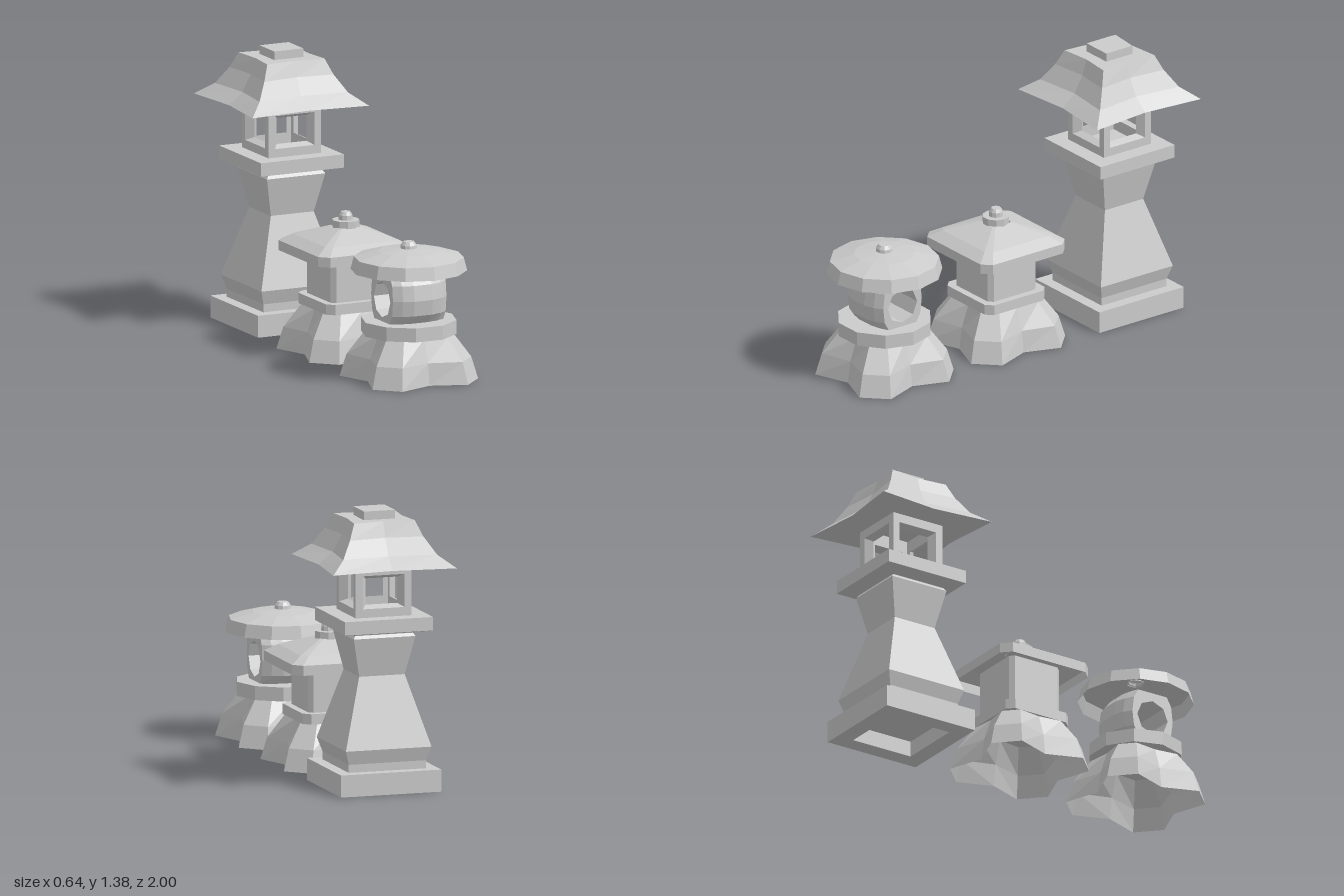
import * as THREE from 'three';

const stone = new THREE.MeshStandardMaterial({ color: 0xcccccc, flatShading: true, side: THREE.DoubleSide });
const V = (x, y, z) => new THREE.Vector3(x, y, z);

// Joins equal-length loops of points into a faceted skin, with optional end caps
function loft(name, loops, capStart = false, capEnd = false) {
  const pos = [];
  const tri = (...pts) => pts.forEach(p => pos.push(p.x, p.y, p.z));
  const n = loops[0].length;
  for (let k = 0; k + 1 < loops.length; k++) {
    for (let i = 0; i < n; i++) {
      const j = (i + 1) % n, a = loops[k], b = loops[k + 1];
      tri(a[i], a[j], b[j]);
      tri(a[i], b[j], b[i]);
    }
  }
  const cap = (loop, flip) => {
    const c = loop.reduce((s, p) => s.add(p), V(0, 0, 0)).divideScalar(n);
    loop.forEach((p, i) => {
      const q = loop[(i + 1) % n];
      flip ? tri(q, p, c) : tri(p, q, c);
    });
  };
  if (capStart) cap(loops[0], true);
  if (capEnd) cap(loops[loops.length - 1], false);
  const g = new THREE.BufferGeometry();
  g.setAttribute('position', new THREE.Float32BufferAttribute(pos, 3));
  g.computeVertexNormals();
  const mesh = new THREE.Mesh(g, stone);
  mesh.name = name;
  return mesh;
}

// Horizontal loops, counter-clockwise from above
const quarterTurns = (pts, y) => [0, 1, 2, 3].flatMap(k => pts.map(([x, z]) => {
  const c = Math.cos(k * Math.PI / 2), s = Math.sin(k * Math.PI / 2);
  return V(x * c - z * s, y, -(x * s + z * c));
}));
const square = (h, y) => quarterTurns([[h, h]], y);
const waisted = (h, mid, y) => quarterTurns([[mid, 0], [h, h]], y);
const chamfered = (h, c, y) => quarterTurns([[h, h - c], [h - c, h]], y);
const footed = (h, inner, mid, y) => quarterTurns([[mid, 0], [h, inner], [inner, h]], y);
const ring = (r, y, n) => Array.from({ length: n }, (_, i) => {
  const a = i / n * Math.PI * 2;
  return V(r * Math.cos(a), y, -r * Math.sin(a));
});
const turned = (name, profile, n, capStart, capEnd) =>
  loft(name, profile.map(([r, y]) => ring(r, y, n)), capStart, capEnd);

// Hollow base flaring out into four diagonal feet
const flaredBase = () => loft('flaredBase', [
  footed(0.29, 0.18, 0.225, 0), footed(0.26, 0.165, 0.21, 0.11), footed(0.185, 0.12, 0.17, 0.225),
], false, true);

function roundLantern() {
  const g = new THREE.Group();
  g.name = 'roundLantern';
  g.add(flaredBase());
  g.add(turned('plate', [[0.237, 0.225], [0.237, 0.295]], 10, true, true));

  // Rounded light chamber with an octagonal tunnel from side to side
  const outline = (x, s) => Array.from({ length: 16 }, (_, i) => {
    const a = i / 16 * Math.PI * 2;
    const y = THREE.MathUtils.clamp(0.2 * Math.sin(a), -0.122, 0.122);
    return V(x, 0.415 + y, 0.165 * s * Math.cos(a));
  });
  const hole = x => Array.from({ length: 16 }, (_, i) => {
    const a = i / 16 * Math.PI * 2, r = 0.09 * (i % 2 ? Math.cos(Math.PI / 8) : 1);
    return V(x, 0.405 + r * Math.sin(a), r * Math.cos(a));
  });
  g.add(loft('lightChamber', [
    hole(0.147), outline(0.147, 0.72), outline(0.105, 0.89), outline(0.05, 1),
    outline(-0.05, 1), outline(-0.105, 0.89), outline(-0.147, 0.72), hole(-0.147), hole(0.147),
  ].reverse()));

  g.add(turned('roof', [[0.287, 0.54], [0.27, 0.605], [0.15, 0.637], [0.035, 0.65]], 12));
  g.add(turned('finial', [[0.043, 0.645], [0.04, 0.665], [0.027, 0.682]], 10, false, true));
  return g;
}

function squareLantern() {
  const g = new THREE.Group();
  g.name = 'squareLantern';
  g.add(flaredBase());
  g.add(loft('plate', [chamfered(0.185, 0.035, 0.225), chamfered(0.185, 0.035, 0.277)], true, true));
  g.add(loft('lightChamber', [chamfered(0.148, 0.022, 0.277), chamfered(0.148, 0.022, 0.53)], true, true));
  g.add(loft('roof', [
    chamfered(0.26, 0.045, 0.485), chamfered(0.26, 0.045, 0.535),
    chamfered(0.2, 0.03, 0.57), chamfered(0.055, 0.01, 0.625),
  ]));
  g.add(turned('collar', [[0.068, 0.617], [0.068, 0.657]], 10, true, true));
  g.add(turned('finial', [[0.036, 0.655], [0.034, 0.68], [0.024, 0.697]], 10, false, true));
  return g;
}

function tallLantern() {
  const g = new THREE.Group();
  g.name = 'tallLantern';
  // Plinth with a recess underneath
  g.add(loft('plinth', [
    square(0.17, 0.08), square(0.17, 0), square(0.26, 0), square(0.26, 0.11),
  ], true, true));
  // Waisted pedestal
  g.add(loft('pedestal', [
    [0.2, 0.11], [0.2, 0.15], [0.222, 0.22], [0.118, 0.57], [0.16, 0.765], [0.15, 0.78], [0.15, 0.79],
  ].map(([h, y]) => square(h, y)), true, true));
  g.add(loft('slab', [square(0.15, 0.782), square(0.228, 0.8), square(0.228, 0.867)], true, true));

  // Four walls with bevelled windows
  const rect = (h, y0, y1, z) => [V(-h, y0, z), V(h, y0, z), V(h, y1, z), V(-h, y1, z)];
  for (let i = 0; i < 4; i++) {
    const wall = loft('windowWall', [
      rect(0.145, 0.867, 1.12, 0.145), rect(0.108, 0.91, 1.075, 0.145),
      rect(0.082, 0.926, 1.057, 0.108), rect(0.108, 0.867, 1.12, 0.108),
    ]);
    wall.rotation.y = i * Math.PI / 2;
    g.add(wall);
  }

  // Sweeping roof with concave edges
  g.add(loft('roof', [
    [0.32, 0.288, 1.12], [0.243, 0.215, 1.18], [0.19, 0.168, 1.265], [0.157, 0.141, 1.342],
  ].map(([h, m, y]) => waisted(h, m, y)), true, true));
  g.add(loft('roofCap', [square(0.08, 1.34), square(0.08, 1.385)], true, true));
  return g;
}

export function createModel() {
  const model = new THREE.Group();
  model.name = 'stoneLanterns';
  [[roundLantern(), 0.708], [squareLantern(), 0.02], [tallLantern(), -0.68]].forEach(([lantern, z]) => {
    lantern.position.z = z;
    model.add(lantern);
  });
  return model;
}
